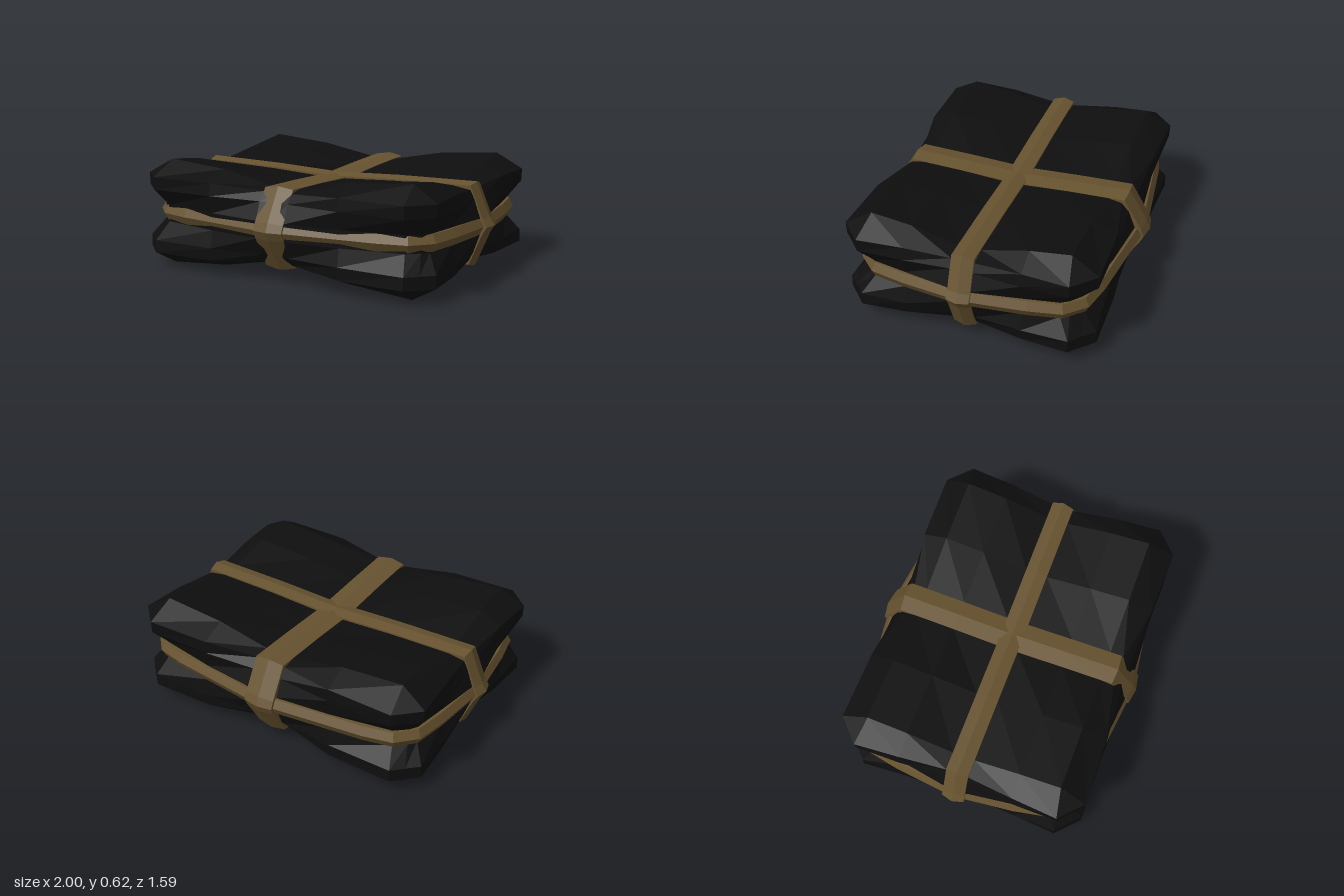
import * as THREE from 'three';

const CY = 0.31; // mid height
const black = new THREE.MeshStandardMaterial({ color: 0x0e0e0e, flatShading: true });
black.name = 'black wrapping';
const tan = new THREE.MeshStandardMaterial({ color: 0x66522f, flatShading: true });
tan.name = 'tan strap';

// Soft package: a gridded box whose vertices are moved into pinched lobes.
// Arrays run from the middle (index 0) to the outer edge (index 4).
function packageGeometry() {
  const X = [0, 0.09, 0.41, 0.78, 0.86], Z = [0, 0.065, 0.335, 0.57, 0.66];
  const rise = [0, 0.06, 0.7, 1, 1];
  // outline at the belt, at the bulge and at the rim
  const sideX = [[0.94, 0.94, 0.895, 0.86, 0.83], [0.89, 0.905, 0.925, 0.927, 0.862], [0.87, 0.88, 0.91, 0.93, 0.865]];
  const sideZ = [[0.735, 0.735, 0.7, 0.635, 0.58], [0.68, 0.695, 0.72, 0.722, 0.66], [0.64, 0.65, 0.715, 0.725, 0.662]];
  const geo = new THREE.BoxGeometry(8, 6, 8, 8, 6, 8);
  const p = geo.attributes.position;
  for (let n = 0; n < p.count; n++) {
    const gx = Math.round(p.getX(n)), gy = Math.round(p.getY(n)), gz = Math.round(p.getZ(n));
    const i = Math.abs(gx), j = Math.abs(gy), k = Math.abs(gz);
    const level = j <= 1 ? 0 : j - 1;
    let x = X[i], z = Z[k], y = [0, 0.05, 0.15, 0][j];
    if (i === 4) x = sideX[level][k];
    if (k === 4) z = sideZ[level][i];
    if (i === 4 && k === 3) z = level ? 0.6 : 0.535;
    if (k === 4 && i === 3) x = level ? 0.8 : 0.765;
    if (j === 3) {
      const rim = i === 4 || k === 4;
      const along = i === 4 ? k : i;
      y = rim ? (along <= 1 ? 0.2 : 0.222)
        : 0.19 + 0.02 * Math.max(rise[i], rise[k]) + 0.1 * rise[i] * rise[k];
    }
    p.setXYZ(n, Math.sign(gx) * x, Math.sign(gy) * y, Math.sign(gz) * z);
  }
  geo.computeVertexNormals();
  return geo;
}

// Closed strap with a ridged section, swept round a path given as one quarter.
function strapGeometry(quarter, halfWidth, drop, depth, place) {
  const back = quarter.slice().reverse();
  const path = [
    ...quarter.slice(0, -1),
    ...back.slice(0, -1).map(([u, v]) => [-u, v]),
    ...quarter.slice(0, -1).map(([u, v]) => [-u, -v]),
    ...back.slice(0, -1).map(([u, v]) => [u, -v]),
  ].map(([u, v]) => new THREE.Vector2(u, v));
  const section = [[-halfWidth, -depth], [-halfWidth, -drop], [0, 0], [halfWidth, -drop], [halfWidth, -depth]];
  const N = path.length, S = section.length;
  const edgeNormal = (a, b) => new THREE.Vector2(b.y - a.y, a.x - b.x).normalize();
  const pos = [], index = [];
  path.forEach((pt, n) => {
    const n1 = edgeNormal(path[(n + N - 1) % N], pt), n2 = edgeNormal(pt, path[(n + 1) % N]);
    const miter = n1.clone().add(n2).divideScalar(1 + n1.dot(n2));
    section.forEach(([w, d], s) => {
      pos.push(...place(pt.x + miter.x * d, pt.y + miter.y * d, w));
      if (s === S - 1) return;
      const a = n * S + s, b = ((n + 1) % N) * S + s;
      index.push(a, b, a + 1, b, b + 1, a + 1);
    });
  });
  const geo = new THREE.BufferGeometry();
  geo.setAttribute('position', new THREE.Float32BufferAttribute(pos, 3));
  geo.setIndex(index);
  geo.computeVertexNormals();
  return geo;
}

export function createModel() {
  const model = new THREE.Group();
  model.name = 'strappedPackage';
  const add = (name, geo, mat, z) => {
    const mesh = new THREE.Mesh(geo, mat);
    mesh.name = name;
    mesh.position.set(0, CY, z);
    model.add(mesh);
  };

  add('package', packageGeometry(), black, 0.012);

  // Belt round the sides: path in z, x
  add('belt', strapGeometry(
    [[0.775, 0], [0.765, 0.09], [0.7, 0.62], [0.66, 0.79], [0.55, 0.895], [0.36, 0.932], [0.065, 0.965], [0, 0.975]],
    0.047, 0.025, 0.09, (u, v, w) => [v, w, u]), tan, 0);

  // Strap running left to right: path in x, y
  add('lengthStrap', strapGeometry(
    [[1, 0], [0.97, 0.05], [0.89, 0.24], [0.41, 0.232], [0, 0.215]],
    0.065, 0.015, 0.06, (u, v, w) => [u, v, w]), tan, 0.012);

  // Strap running front to back: path in y, z
  add('crossStrap', strapGeometry(
    [[0.208, 0], [0.224, 0.33], [0.235, 0.66], [0.05, 0.77], [0, 0.793]],
    0.09, 0.014, 0.06, (u, v, w) => [w, u, v]), tan, -0.002);

  return model;
}
